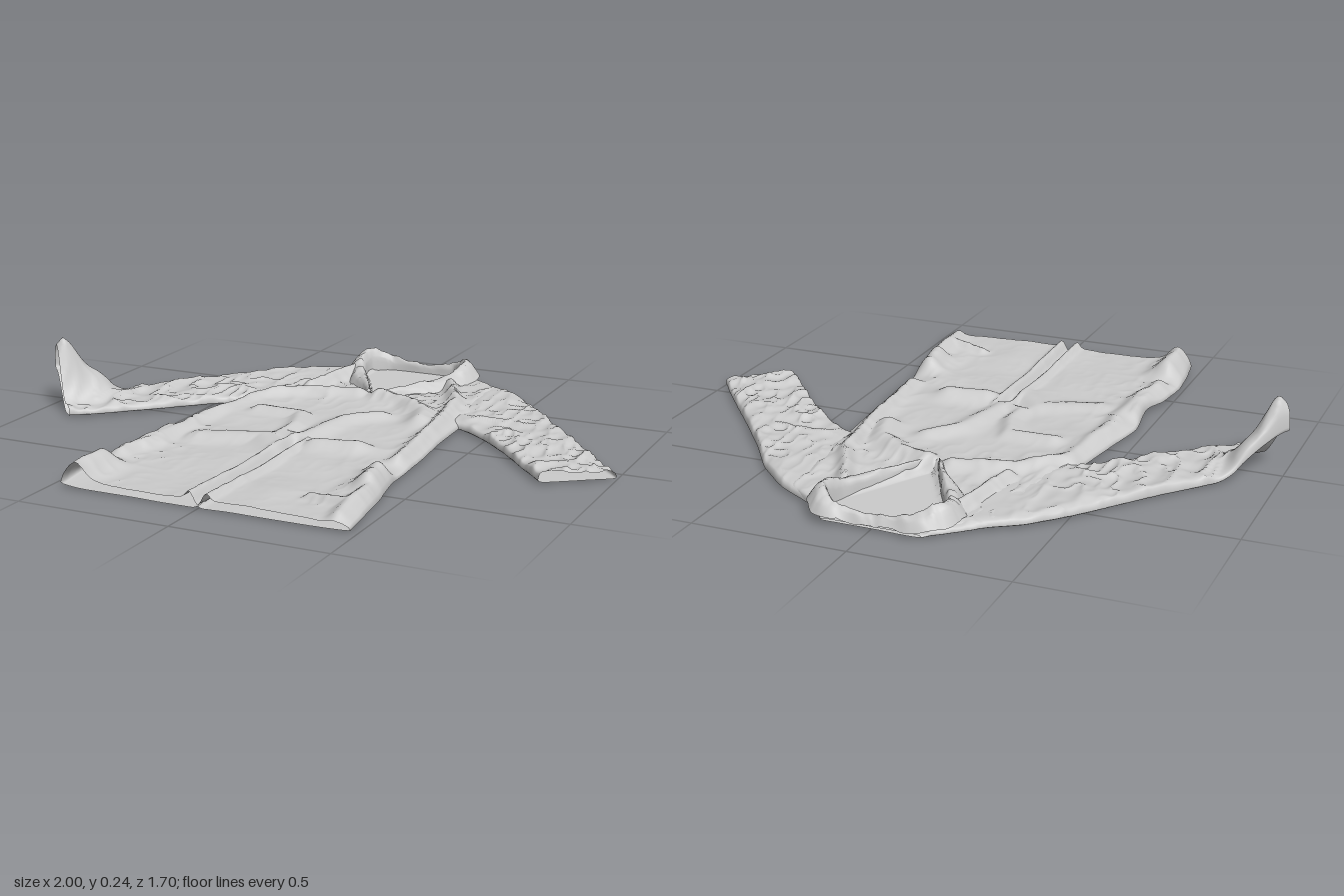
import * as THREE from 'three';

const material = new THREE.MeshStandardMaterial({ color: 0xcccccc, side: THREE.DoubleSide });
const bell = (d, w) => Math.exp(-(d * d) / (w * w));
const step = THREE.MathUtils.smoothstep;

// Repeatable value noise for the crumpled cloth
const hash = (i, j) => {
  const s = Math.sin(i * 127.1 + j * 311.7) * 43758.5453;
  return s - Math.floor(s);
};
function noise(x, z) {
  const i = Math.floor(x), j = Math.floor(z);
  const a = step(x - i, 0, 1), b = step(z - j, 0, 1);
  const lerp = THREE.MathUtils.lerp;
  return lerp(lerp(hash(i, j), hash(i + 1, j), a), lerp(hash(i, j + 1), hash(i + 1, j + 1), a), b);
}
// Sharp-crested wrinkles, 0..1
const crumple = (x, z) => {
  const r = (f, o) => 1 - Math.abs(2 * noise(x * f + o, z * f * 0.8 + o) - 1);
  return 0.6 * r(11, 3) ** 2 + 0.4 * r(25, 9) ** 2;
};

const curve = (pts) => new THREE.CatmullRomCurve3(pts.map(([x, z]) => new THREE.Vector3(x, 0, z)), false, 'catmullrom', 0.3);

// Grid of points to a smooth mesh; point(v, u) returns [x, y, z]
function sheet(name, nv, nu, wrap, point) {
  const pos = [], index = [], cols = wrap ? nu : nu + 1;
  for (let j = 0; j <= nv; j++) for (let i = 0; i < cols; i++) pos.push(...point(j / nv, i / nu));
  for (let j = 0; j < nv; j++) for (let i = 0; i < nu; i++) {
    const k = (i + 1) % cols;
    const a = j * cols + i, b = a + cols, c = j * cols + k, d = c + cols;
    index.push(a, b, c, c, b, d);
  }
  const g = new THREE.BufferGeometry();
  g.setAttribute('position', new THREE.Float32BufferAttribute(pos, 3));
  g.setIndex(index);
  g.computeVertexNormals();
  const mesh = new THREE.Mesh(g, material);
  mesh.name = name;
  return mesh;
}

// Flattened cloth tube between two edge curves, open at both ends
function clothTube(name, edgeA, edgeB, nv, nu, top, bottom) {
  const A = curve(edgeA), B = curve(edgeB);
  return sheet(name, nv, nu * 2, true, (v, u) => {
    const upper = u < 0.5;
    const s = upper ? u * 2 : 2 - u * 2;
    const p = A.getPoint(v).lerp(B.getPoint(v), s);
    const round = Math.sqrt(Math.max(0, 1 - Math.abs(2 * s - 1) ** 14));
    const lo = bottom(p.x, p.z, v, s), hi = top(p.x, p.z, v, s), mid = lo + (hi - lo) * 0.25;
    return [p.x, mid + ((upper ? hi : lo) - mid) * round, p.z];
  });
}

// Large folds: width, height, then the points of the crest line
const folds = [
  [0.035, 0.025, [-0.06, -0.38], [-0.25, -0.33], [-0.37, -0.2], [-0.4, 0.1], [-0.41, 0.45]],
  [0.035, 0.03, [-0.44, 0.25], [-0.43, 0.55]],
  [0.05, 0.055, [-0.42, 0.68], [-0.42, 0.86]],
  [0.04, 0.03, [0.03, -0.38], [0.14, -0.34], [0.24, -0.26], [0.27, -0.15]],
  [0.025, 0.03, [0.19, -0.62], [0.3, -0.4], [0.34, -0.1], [0.37, 0.25]],
  [0.025, 0.03, [-0.2, -0.68], [-0.25, -0.4]],
  [0.03, 0.022, [-0.27, -0.07], [-0.12, -0.07], [-0.08, 0.05], [-0.08, 0.14], [0, 0.17]],
  [0.04, 0.022, [0.12, -0.17], [0.04, -0.08], [0.0, 0.14]],
  [0.05, 0.035, [0.2, 0.2], [0.08, 0.22]],
  [0.05, 0.02, [-0.3, 0.28], [-0.12, 0.2], [-0.03, 0.3]],
  [0.014, 0.022, [-0.028, 0.18], [-0.03, 0.84]],
  [0.014, 0.02, [0.03, 0.18], [0.03, 0.84]],
  [0.045, 0.055, [0.38, 0.42], [0.39, 0.52]],
  [0.03, 0.03, [0.41, 0.5], [0.43, 0.8]],
  [0.02, 0.02, [0.28, 0.67], [0.4, 0.7]],
];
function foldHeight(x, z) {
  let best = 0, sum = 0;
  for (const [w, h, ...pts] of folds) {
    let d = 9;
    for (let i = 1; i < pts.length; i++) {
      const [ax, az] = pts[i - 1], dx = pts[i][0] - ax, dz = pts[i][1] - az;
      const t = THREE.MathUtils.clamp(((x - ax) * dx + (z - az) * dz) / (dx * dx + dz * dz), 0, 1);
      d = Math.min(d, Math.hypot(x - ax - dx * t, z - az - dz * t));
    }
    const k = h * bell(d, w);
    best = Math.max(best, k);
    sum += k;
  }
  return best * 0.8 + sum * 0.2;
}

// Signed amount inside the V of the open neck
const neckInside = (x, z) => {
  const half = z < -0.7 ? 0.175 : 0.175 * (-0.39 - z) / 0.31;
  return half - Math.abs(x);
};

function bodyTop(x, z) {
  const side = step(Math.abs(x), 0.2, 0.4) * 0.35 + step(-z, 0.15, 0.4) * 0.5;
  const soft = noise(x * 7 + 4, z * 6 + 2) * 0.012;
  const cloth = 0.026 + soft + foldHeight(x, z) + crumple(x, z) * 0.02 * (0.15 + side);
  const slit = bell(x, 0.011) * step(z, 0.15, 0.25) * 0.02;
  const k = step(neckInside(x, z), -0.012, 0.012);
  return (cloth - slit) * (1 - k) + 0.02 * k;
}
const bodyBottom = (x, z) =>
  0.01 + noise(x * 9, z * 9) * 0.004 + bell(x, 0.008) * step(z, 0.2, 0.4) * 0.006;

// Sleeve edges for the +x side: shoulder edge and underarm edge
const shoulderEdge = [[0.22, -0.775], [0.38, -0.68], [0.5, -0.565], [0.6, -0.43], [0.75, -0.245], [0.88, -0.09], [1.0, 0.06]];
const underarmEdge = [[0.3, -0.22], [0.385, -0.21], [0.45, -0.17], [0.52, -0.11], [0.61, -0.02], [0.71, 0.1], [0.8, 0.2]];
const mirror = (pts) => pts.map(([x, z]) => [-x, z]);

const sleeveTop = (x, z, v) => 0.034 + crumple(x * 1.1, z) * 0.022 * step(v, 0, 0.3) + noise(x * 8, z * 8) * 0.008 - 0.008 * v;
const sleeveBottom = (x, z) => 0.01 + noise(x * 9, z * 9) * 0.004;

// The right cuff curls up off the ground at its outer corner
const cuffLift = (v, s) => 0.13 * step(v, 0.75, 1) * (1 - step(s, 0.1, 0.75));
const cuffPeak = (x, z) => 0.08 * bell(Math.hypot(x + 0.955, z - 0.065), 0.05);

// Folded collar swept along the neckline
function makeCollar() {
  const path = curve([[-0.015, -0.4], [-0.09, -0.55], [-0.165, -0.69], [-0.175, -0.77], [-0.12, -0.815], [0, -0.82],
    [0.12, -0.815], [0.17, -0.77], [0.16, -0.69], [0.1, -0.56], [0.015, -0.39]]);
  const section = curve([[0, 0.15], [0.05, 0.7], [0.25, 1], [0.6, 0.85], [1, 0.4]]);
  return sheet('collar', 120, 14, false, (v, u) => {
    const p = path.getPoint(v), t = path.getTangent(v), q = section.getPoint(u);
    const back = bell(v - 0.5, 0.1);
    const width = (0.07 - 0.04 * back) * (0.35 + 0.65 * step(Math.min(v, 1 - v), 0, 0.15));
    const crest = 0.06 + 0.035 * bell(Math.abs(v - 0.5) - 0.2, 0.1) - 0.012 * back;
    const out = q.x * width + (noise(v * 25, u * 3) - 0.5) * 0.012 * u;
    return [p.x + t.z * out, q.z * crest + crumple(v * 2, u * 0.2) * 0.012, p.z - t.x * out];
  });
}

export function createModel() {
  const coat = new THREE.Group();
  coat.name = 'coat';

  // Body outline: right x, left x, z
  const outline = [[-0.16, 0.16, -0.845], [-0.235, 0.21, -0.785], [-0.3, 0.29, -0.73], [-0.365, 0.36, -0.67],
    [-0.39, 0.38, -0.5], [-0.4, 0.385, -0.35], [-0.41, 0.385, -0.2], [-0.44, 0.395, 0], [-0.47, 0.41, 0.18],
    [-0.45, 0.415, 0.35], [-0.475, 0.43, 0.46], [-0.49, 0.455, 0.6], [-0.482, 0.47, 0.72], [-0.465, 0.482, 0.835]];
  coat.add(clothTube('body', outline.map(([a, , z]) => [a, z]), outline.map(([, b, z]) => [b, z]),
    190, 120, bodyTop, bodyBottom));

  coat.add(clothTube('leftSleeve', underarmEdge, shoulderEdge, 110, 56, sleeveTop, sleeveBottom));

  const rightUnderarm = mirror(underarmEdge);
  rightUnderarm[5] = [-0.73, 0.09];
  rightUnderarm[6] = [-0.855, 0.2];
  coat.add(clothTube('rightSleeve', mirror(shoulderEdge), rightUnderarm, 110, 56,
    (x, z, v, s) => sleeveTop(x, z, v) + cuffLift(v, s) + cuffPeak(x, z),
    (x, z, v, s) => sleeveBottom(x, z) + cuffLift(v, s) * 0.9));

  coat.add(makeCollar());
  return coat;
}
